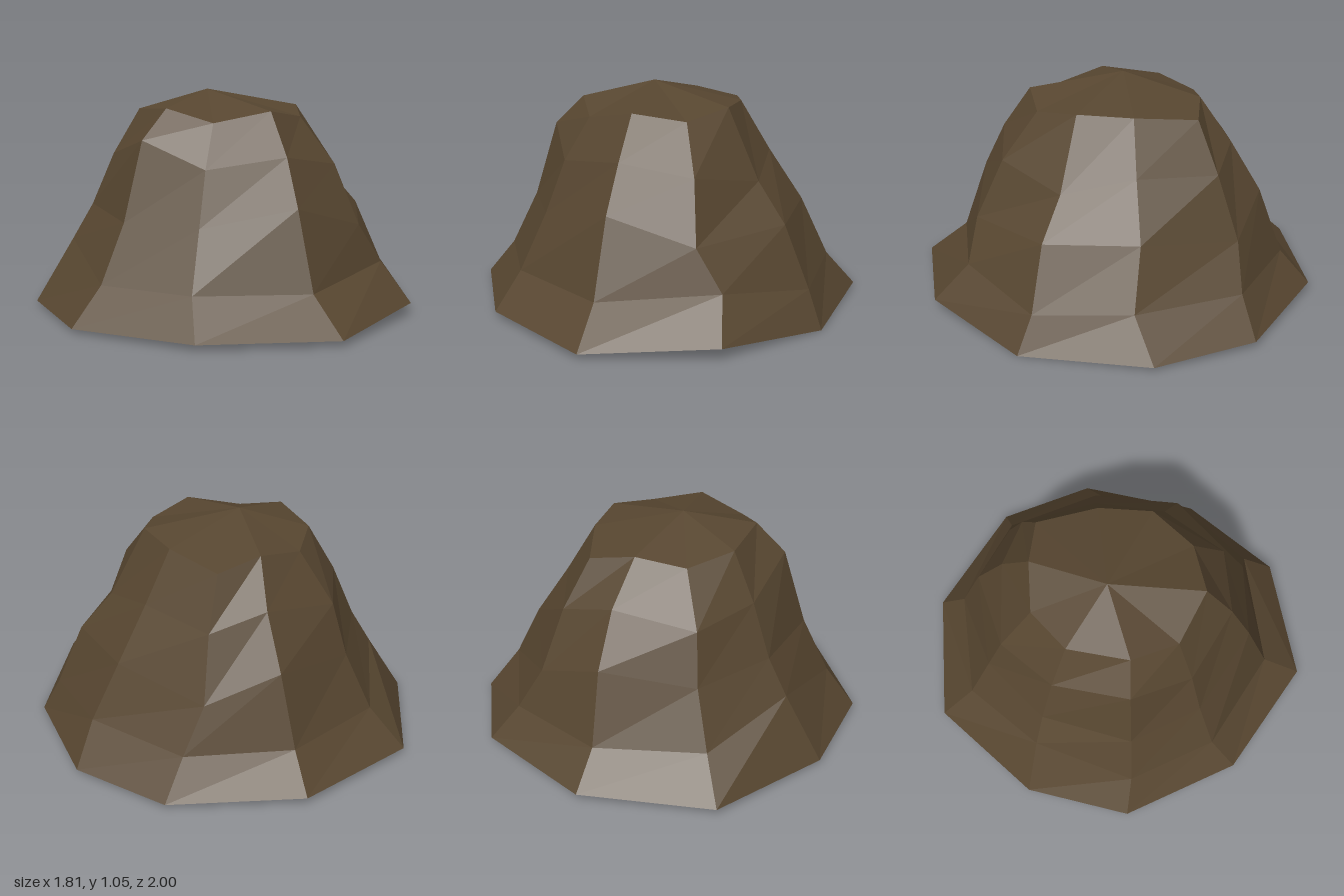
import * as THREE from 'three';

// Each rib runs from the base up to the rim: [x, y, z] at five levels.
// Ribs go round from the back, past +x, to the front and past -x.
const ribs = [
  [[0.03, 0.04, -1.0], [0.02, 0.2, -0.85], [0.04, 0.53, -0.73], [0.04, 0.77, -0.58], [0.0, 0.97, -0.42]],
  [[0.62, 0.03, -0.78], [0.5, 0.2, -0.7], [0.38, 0.41, -0.66], [0.31, 0.7, -0.55], [0.22, 0.93, -0.44]],
  [[0.9, 0.02, -0.36], [0.78, 0.2, -0.25], [0.64, 0.47, -0.25], [0.48, 0.72, -0.2], [0.34, 0.96, -0.16]],
  [[0.9, 0.0, 0.26], [0.82, 0.17, 0.21], [0.69, 0.46, 0.19], [0.54, 0.64, 0.14], [0.37, 0.97, 0.1]],
  [[0.6, 0.06, 0.76], [0.54, 0.24, 0.6], [0.41, 0.43, 0.59], [0.35, 0.71, 0.47], [0.25, 0.93, 0.32]],
  [[0.03, 0.03, 1.0], [0.01, 0.19, 0.8], [0.01, 0.55, 0.67], [0.02, 0.77, 0.56], [0.02, 0.97, 0.42]],
  [[-0.55, 0.03, 0.74], [-0.49, 0.2, 0.6], [-0.4, 0.47, 0.5], [-0.33, 0.72, 0.43], [-0.24, 0.92, 0.34]],
  [[-0.91, 0.02, 0.24], [-0.76, 0.2, 0.23], [-0.63, 0.47, 0.2], [-0.52, 0.84, 0.17], [-0.38, 0.98, 0.14]],
  [[-0.89, 0.02, -0.29], [-0.7, 0.32, -0.27], [-0.6, 0.49, -0.25], [-0.5, 0.74, -0.21], [-0.38, 0.96, -0.16]],
  [[-0.58, 0.03, -0.83], [-0.47, 0.2, -0.68], [-0.38, 0.46, -0.58], [-0.34, 0.7, -0.5], [-0.23, 0.93, -0.36]],
];

function facetedMesh(name, triangles, material) {
  const geometry = new THREE.BufferGeometry();
  geometry.setAttribute('position', new THREE.Float32BufferAttribute(triangles.flat(), 3));
  geometry.computeVertexNormals();
  const mesh = new THREE.Mesh(geometry, material);
  mesh.name = name;
  return mesh;
}

export function createModel() {
  const earth = new THREE.MeshStandardMaterial({ color: 0x574630 });
  earth.name = 'brown earth';
  const apex = [-0.07, 1.055, -0.03];
  const floor = [0, 0.025, 0];
  const sides = [], cap = [], underside = [];

  ribs.forEach((rib, i) => {
    const next = ribs[(i + 1) % ribs.length];
    for (let k = 0; k < 4; k++) {
      sides.push(next[k], rib[k], rib[k + 1], next[k], rib[k + 1], next[k + 1]);
    }
    cap.push(apex, next[4], rib[4]);
    underside.push(floor, rib[0], next[0]);
  });

  const model = new THREE.Group();
  model.name = 'mound';
  model.add(
    facetedMesh('slopes', sides, earth),
    facetedMesh('summit', cap, earth),
    facetedMesh('underside', underside, earth),
  );
  return model;
}
